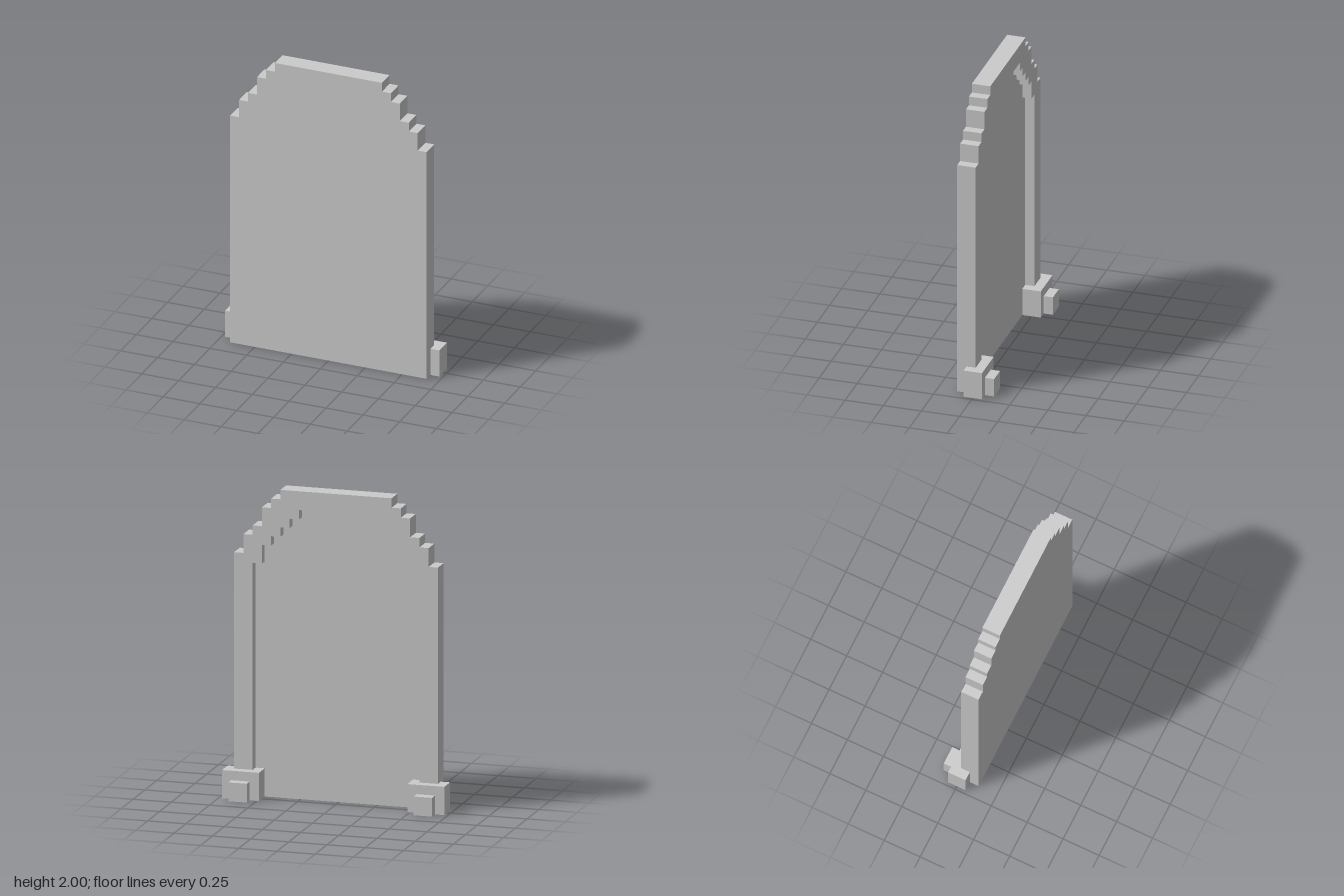
import * as THREE from 'three';

const U = 2 / 33; // one block of the stepped grid

// [half width, height] of each step, from the sides up to the top
const OUTER = [[11, 26], [10, 28], [9, 29], [8, 31], [7, 32], [6, 33]];
const INNER = [[9, 25], [8, 27], [7, 28], [6, 29], [5, 30], [4, 31]];

// Stepped arch from its right foot, over the top, to its left foot
function steppedArch(steps) {
  const half = [];
  let y = 0;
  for (const [x, top] of steps) {
    half.push([x, y], [x, top]);
    y = top;
  }
  const mirrored = half.map(([x, h]) => [-x, h]).reverse();
  return [...half, ...mirrored].map(([x, h]) => new THREE.Vector2(x * U, h * U));
}

export function createModel() {
  const model = new THREE.Group();
  const material = new THREE.MeshStandardMaterial({ color: 0xcccccc, flatShading: true });

  function add(name, geometry, x = 0, y = 0, z = 0) {
    const mesh = new THREE.Mesh(geometry, material);
    mesh.name = name;
    mesh.position.set(x * U, y * U, z * U);
    model.add(mesh);
  }
  const slab = (points) =>
    new THREE.ExtrudeGeometry(new THREE.Shape(points), { depth: U, bevelEnabled: false });

  // Solid front panel, and the frame behind it that is open at the bottom
  add('panel', slab(steppedArch(OUTER)), 0, 0, 1);
  add('backFrame', slab([...steppedArch(OUTER), ...steppedArch(INNER).reverse()]));

  // Feet: a block around each jamb with a smaller block behind it
  for (const [side, s] of [['left', 1], ['right', -1]]) {
    add(side + 'Foot', new THREE.BoxGeometry(4 * U, 3 * U, 2 * U), s * 10, 1.5, 0);
    add(side + 'FootBack', new THREE.BoxGeometry(2 * U, 2 * U, U), s * 10, 1, -1.5);
  }
  return model;
}
